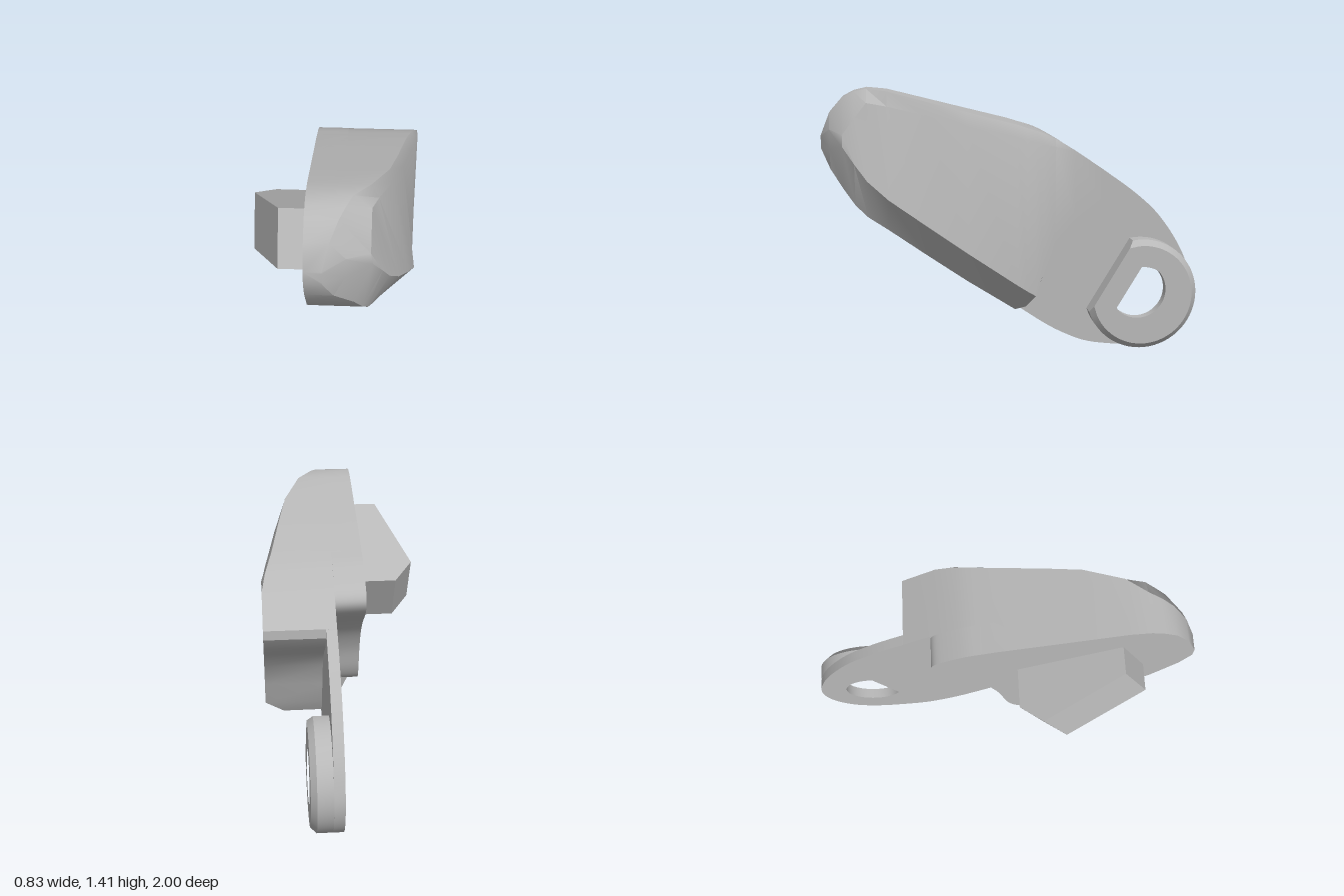
import * as THREE from 'three';
import { toCreasedNormals } from 'three/addons/utils/BufferGeometryUtils.js';

const grey = new THREE.MeshStandardMaterial({ color: 0xb8b8b8 });
grey.name = 'plain grey';

// Outlines are [z, y] pairs; the shape is swept along x.
const toPoint = ([z, y]) => new THREE.Vector2(y, z);
const sideways = new THREE.Matrix4().makeBasis(
  new THREE.Vector3(0, 1, 0), new THREE.Vector3(0, 0, 1), new THREE.Vector3(1, 0, 0));

const smooth = (points, n) => new THREE.SplineCurve(points.map(toPoint)).getPoints(n);

function sweep(points, hole, x0, x1, steps = 1) {
  const shape = new THREE.Shape(points);
  if (hole) shape.holes.push(new THREE.Path(hole));
  return new THREE.ExtrudeGeometry(shape, { depth: x1 - x0, steps, bevelEnabled: false })
    .applyMatrix4(sideways).translate(x0, 0, 0);
}

// Circle with one flat, facing forwards and up
const pivot = { z: -0.7, y: 0.302 };
const flat = new THREE.Vector2(0.856, 0.517); // flat's normal in z, y
function flattenedCircle(r, d) {
  const start = Math.acos(d / r), points = [];
  for (let i = 0; i <= 48; i++) {
    const t = start + (i / 48) * (2 * Math.PI - 2 * start);
    const a = r * Math.cos(t), b = r * Math.sin(t);
    points.push(toPoint([pivot.z + a * flat.x - b * flat.y, pivot.y + a * flat.y + b * flat.x]));
  }
  return points;
}

// Cross-sections of the housing from nose to rear:
// z, top y, bottom y, top shoulder x, wall top y, wall top x, wall bottom y, wall bottom x, bottom shoulder x
const sections = [
  [1.0, 1.16, 1.09, -0.03, 1.15, -0.03, 1.10, -0.03, -0.03],
  [0.95, 1.285, 0.985, 0.0, 1.2, 0.075, 1.1, 0.075, 0.02],
  [0.88, 1.365, 0.89, 0.04, 1.18, 0.185, 1.12, 0.195, 0.11],
  [0.82, 1.395, 0.81, 0.07, 1.26, 0.185, 1.035, 0.24, 0.15],
  [0.755, 1.41, 0.75, 0.10, 1.342, 0.185, 0.95, 0.275, 0.175],
  [0.65, 1.40, 0.685, 0.18, 1.325, 0.215, 0.86, 0.32, 0.2],
  [0.45, 1.35, 0.55, 0.262, 1.28, 0.28, 0.725, 0.372, 0.228],
  [0.25, 1.30, 0.42, 0.302, 1.23, 0.33, 0.59, 0.41, 0.265],
  [0.0, 1.238, 0.262, 0.345, 1.175, 0.375, 0.42, 0.41, 0.27],
  [-0.05, 1.222, 0.285, 0.355, 1.163, 0.385, 0.388, 0.41, 0.31],
  [-0.09, 1.21, 0.36, 0.365, 1.152, 0.392, 0.365, 0.41, 0.405],
  [-0.135, 1.195, 0.50, 0.375, 1.14, 0.4, 0.505, 0.41, 0.41],
  [-0.19, 1.17, 0.64, 0.39, 1.13, 0.41, 0.645, 0.41, 0.41],
  [-0.29, 1.11, 0.76, 0.41, 1.108, 0.41, 0.762, 0.41, 0.41],
  [-0.42, 1.022, 0.86, 0.41, 1.02, 0.41, 0.862, 0.41, 0.41],
  [-0.473, 0.985, 0.935, 0.41, 0.983, 0.41, 0.937, 0.41, 0.41],
];

function housingGeometry() {
  const positions = [], index = [], n = 6;
  for (const [z, top, bottom, xt, wt, wtx, wb, wbx, xb] of sections) {
    const inner = z > 0.2 ? -0.115 : 0.045;
    positions.push(inner, top, z, xt, top, z, wtx, wt, z, wbx, wb, z, xb, bottom, z, inner, bottom, z);
  }
  const last = (sections.length - 1) * n;
  for (let i = 0; i < last; i += n) {
    for (let j = 0; j < n; j++) {
      const k = (j + 1) % n;
      index.push(i + j, i + k, i + n + k, i + j, i + n + k, i + n + j);
    }
  }
  for (let j = 1; j < n - 1; j++) {
    index.push(0, j + 1, j, last, last + j, last + j + 1);
  }
  const g = new THREE.BufferGeometry();
  g.setAttribute('position', new THREE.Float32BufferAttribute(positions, 3));
  g.setIndex(index);
  return g;
}

// Boss: the outer rim is drawn in over the last step to make a chamfer
function bossGeometry() {
  const d = 0.198, rim = 0.27;
  const g = sweep(flattenedCircle(0.3, d), flattenedCircle(0.155, 0.087), 0.1, 0.21, 2);
  const p = g.attributes.position;
  for (let i = 0; i < p.count; i++) {
    const x = p.getX(i), y = p.getY(i) - pivot.y, z = p.getZ(i) - pivot.z;
    if (x > 0.12 && x < 0.19) p.setX(i, 0.18);
    if (x > 0.2 && Math.hypot(y, z) > 0.18) {
      let a = z * flat.x + y * flat.y;
      let b = y * flat.x - z * flat.y;
      if (a < d - 0.001) a *= rim / 0.3;
      b = Math.sign(b) * Math.sqrt(Math.max(0, rim * rim - a * a));
      p.setY(i, pivot.y + a * flat.y + b * flat.x);
      p.setZ(i, pivot.z + a * flat.x - b * flat.y);
    }
  }
  return g;
}

export function createModel() {
  const model = new THREE.Group();
  model.name = 'leverArm';
  const add = (name, geometry, crease = 0.5) => {
    const mesh = new THREE.Mesh(toCreasedNormals(geometry, crease), grey);
    mesh.name = name;
    model.add(mesh);
  };

  add('housing', housingGeometry());

  // Inner slab with its S-shaped rear wall
  add('innerSlab', sweep([
    ...[[0.25, 1.3], [0, 1.238]].map(toPoint),
    ...smooth([[-0.05, 1.222], [-0.15, 1.19], [-0.26, 1.13], [-0.315, 1.085], [-0.323, 1.03], [-0.27, 0.96],
      [-0.15, 0.865], [-0.05, 0.755], [0.02, 0.62], [0.06, 0.48], [0.1, 0.405], [0.15, 0.378], [0.195, 0.383]], 48),
    toPoint([0.25, 0.42]),
  ], null, -0.115, 0.045));

  // Thin plate that carries the pivot end
  add('pivotPlate', sweep([
    toPoint([0.1, 0.322]),
    ...smooth([[0, 0.257], [-0.18, 0.135], [-0.3, 0.07], [-0.42, 0.025], [-0.58, 0.003], [-0.7, 0],
      [-0.82, 0.026], [-0.92, 0.096], [-0.98, 0.19], [-1, 0.302], [-0.975, 0.425], [-0.93, 0.535],
      [-0.86, 0.65], [-0.78, 0.75], [-0.68, 0.84], [-0.57, 0.922], [-0.46, 0.993]], 64),
    toPoint([-0.3, 1.05]), toPoint([0.1, 1.0]),
  ], flattenedCircle(0.155, 0.087), 0.045, 0.1));

  add('pivotBoss', bossGeometry(), 0.4);

  // Faceted key on the inner face, running along the arm
  const keyShape = new THREE.Shape([[0, -0.1], [0, -0.255], [-0.45, -0.418], [-0.58, -0.32], [-0.58, -0.1]]
    .map(([along, x]) => new THREE.Vector2(along, x)));
  const key = new THREE.ExtrudeGeometry(keyShape, { depth: 0.291, bevelEnabled: false });
  key.applyMatrix4(new THREE.Matrix4().makeBasis(
    new THREE.Vector3(0, 0.45, 0.893), new THREE.Vector3(1, 0, 0), new THREE.Vector3(0, 0.893, -0.45)));
  key.translate(0, 0.98, 0.765);
  add('key', key, 0.1);

  return model;
}
